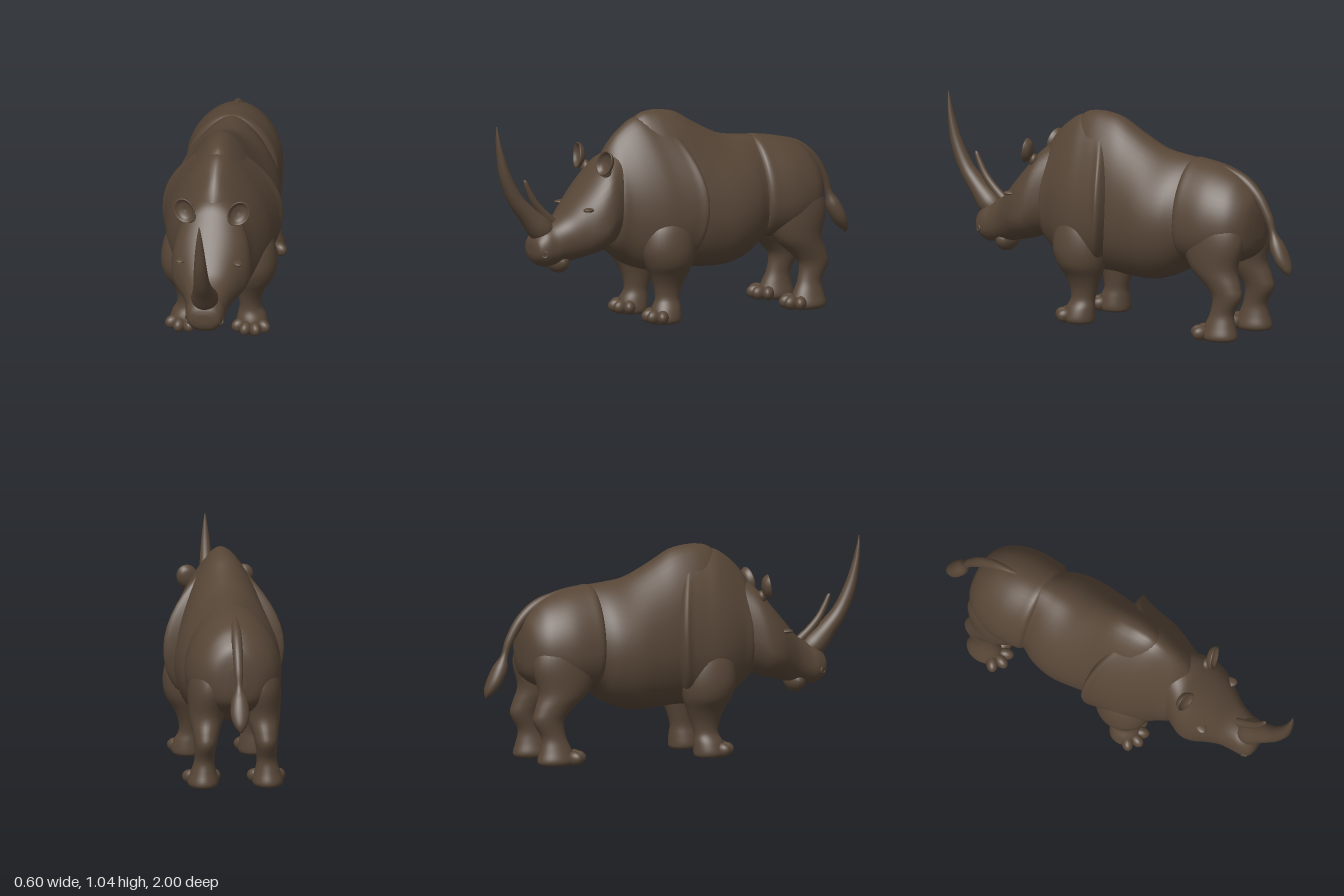
import * as THREE from 'three';

const hide = new THREE.MeshStandardMaterial({ color: 0x574637 });
hide.name = 'brown hide';

// Catmull-Rom interpolation of every column of a small table
function refine(rows, steps) {
  const out = [], last = rows.length - 1;
  for (let i = 0; i < last; i++) {
    const a = rows[Math.max(i - 1, 0)], b = rows[i], c = rows[i + 1], d = rows[Math.min(i + 2, last)];
    for (let s = 0; s < steps; s++) {
      const t = s / steps;
      out.push(b.map((v, k) => v + 0.5 * t * (c[k] - a[k]
        + t * (2 * a[k] - 5 * v + 4 * c[k] - d[k] + t * (3 * (v - c[k]) + d[k] - a[k])))));
    }
  }
  out.push(rows[last]);
  return out;
}

// Closed skin through cross-sections; section(row, angle, index, rows) gives a point
function loft(name, table, section, steps = 5, seg = 48) {
  const rows = refine(table, steps), pos = [], index = [];
  rows.forEach((r, i) => {
    for (let j = 0; j < seg; j++) pos.push(...section(r, j / seg * Math.PI * 2, i, rows));
  });
  const at = (i, j) => i * seg + j % seg;
  for (let i = 0; i < rows.length - 1; i++) {
    for (let j = 0; j < seg; j++) {
      index.push(at(i, j), at(i, j + 1), at(i + 1, j + 1), at(i, j), at(i + 1, j + 1), at(i + 1, j));
    }
  }
  for (const end of [0, rows.length - 1]) {
    const pole = pos.length / 3, mid = [0, 0, 0];
    for (let j = 0; j < seg; j++) for (let k = 0; k < 3; k++) mid[k] += pos[at(end, j) * 3 + k] / seg;
    pos.push(...mid);
    for (let j = 0; j < seg; j++) {
      if (end) index.push(at(end, j), at(end, j + 1), pole);
      else index.push(at(end, j + 1), at(end, j), pole);
    }
  }
  const g = new THREE.BufferGeometry();
  g.setAttribute('position', new THREE.Float32BufferAttribute(pos, 3));
  g.setIndex(index);
  g.computeVertexNormals();
  return named(name, g);
}

function named(name, geometry) {
  const m = new THREE.Mesh(geometry, hide);
  m.name = name;
  return m;
}

// Rows: z, top, bottom, half width, height of widest point, backward bow of the edge
// taper narrows the upper half toward a rounded ridge; pLow squares the belly
const bodySection = (taper, pLow) => ([z, top, low, w, mid, bow = 0], a) => {
  const c = Math.cos(a), s = Math.sin(a);
  const y = mid + s * (s > 0 ? top - mid : mid - low);
  const x = s > 0 ? w * c * (1 - taper * s * s) : Math.sign(c) * w * Math.pow(Math.abs(c), pLow);
  return [x, y, z + bow * (y - 0.58) ** 2];
};

// Rows: y, centre x, centre z, radius x, radius z
const legSection = (side) => ([y, cx, cz, rx, rz], a) => [side * cx + rx * Math.cos(a), y, cz + rz * Math.sin(a)];

// Rows: z, y, radius across, radius in the bending plane
function bentSection([z, y, rx, rt], a, i, rows) {
  const p = rows[Math.max(i - 1, 0)], n = rows[Math.min(i + 1, rows.length - 1)];
  const dz = n[0] - p[0], dy = n[1] - p[1], l = Math.hypot(dz, dy);
  const s = rt * Math.sin(a);
  return [rx * Math.cos(a), y + s * dz / l, z - s * dy / l];
}

function ellipsoid(name, [x, y, z], [rx, ry, rz]) {
  const m = named(name, new THREE.SphereGeometry(1, 20, 14));
  m.position.set(x, y, z);
  m.scale.set(rx, ry, rz);
  return m;
}

export function createModel() {
  const model = new THREE.Group();
  model.name = 'woolly rhinoceros';

  // Trunk, shoulder hump and haunches overlap to leave skin folds
  model.add(loft('trunk', [
    [-0.60, 0.835, 0.40, 0.17, 0.58], [-0.45, 0.865, 0.34, 0.205, 0.55], [-0.36, 0.875, 0.275, 0.246, 0.54],
    [-0.25, 0.895, 0.24, 0.262, 0.53], [-0.12, 0.96, 0.24, 0.246, 0.53], [-0.02, 1.018, 0.25, 0.228, 0.54],
    [0.06, 1.037, 0.25, 0.222, 0.54], [0.13, 1.039, 0.25, 0.205, 0.54], [0.20, 1.018, 0.26, 0.17, 0.54],
    [0.30, 0.93, 0.31, 0.11, 0.56],
  ], bodySection(0.24, 0.78)));
  model.add(loft('shoulders', [
    [-0.06, 0.96, 0.33, 0.21, 0.56, 0.7], [-0.048, 0.985, 0.29, 0.295, 0.57, 0.7], [0.00, 1.005, 0.265, 0.284, 0.55, 0.6],
    [0.08, 1.012, 0.252, 0.27, 0.53, 0.45], [0.16, 1.01, 0.255, 0.255, 0.53, 0.3], [0.24, 0.985, 0.275, 0.226, 0.54, 0.15],
    [0.32, 0.94, 0.32, 0.186, 0.56, 0], [0.37, 0.88, 0.365, 0.165, 0.57, 0], [0.41, 0.81, 0.42, 0.11, 0.58, 0],
  ], bodySection(0.4, 0.66)));
  model.add(loft('haunches', [
    [-0.815, 0.62, 0.50, 0.04, 0.56], [-0.80, 0.70, 0.44, 0.115, 0.57], [-0.76, 0.757, 0.40, 0.172, 0.56],
    [-0.70, 0.807, 0.37, 0.21, 0.55], [-0.60, 0.845, 0.36, 0.236, 0.55], [-0.50, 0.863, 0.36, 0.234, 0.55],
    [-0.445, 0.866, 0.37, 0.222, 0.56], [-0.42, 0.83, 0.42, 0.17, 0.57],
  ], bodySection(0.1, 0.62)));

  // Head with lower lip
  model.add(loft('head', [
    [0.30, 0.88, 0.42, 0.13, 0.60], [0.40, 0.835, 0.39, 0.182, 0.56], [0.46, 0.775, 0.365, 0.198, 0.51],
    [0.52, 0.705, 0.35, 0.184, 0.49], [0.58, 0.635, 0.335, 0.148, 0.48], [0.64, 0.565, 0.325, 0.115, 0.45],
    [0.70, 0.525, 0.315, 0.10, 0.41], [0.75, 0.505, 0.315, 0.095, 0.40], [0.79, 0.465, 0.345, 0.075, 0.40],
    [0.803, 0.43, 0.38, 0.035, 0.405],
  ], bodySection(-0.15, 0.85)));
  model.add(ellipsoid('lowerLip', [0, 0.333, 0.65], [0.083, 0.06, 0.05]));

  // Horns
  model.add(loft('frontHorn', [
    [0.70, 0.45, 0.05, 0.05], [0.75, 0.50, 0.067, 0.062], [0.82, 0.575, 0.052, 0.047], [0.89, 0.66, 0.04, 0.038],
    [0.945, 0.775, 0.032, 0.03], [0.975, 0.89, 0.022, 0.018], [0.99, 0.98, 0.011, 0.009], [0.994, 1.032, 0.002, 0.002],
  ], bentSection, 5, 28));
  model.add(loft('rearHorn', [
    [0.67, 0.52, 0.022, 0.026], [0.73, 0.575, 0.019, 0.022], [0.78, 0.635, 0.017, 0.018],
    [0.815, 0.70, 0.014, 0.014], [0.832, 0.74, 0.01, 0.01], [0.838, 0.752, 0.002, 0.002],
  ], bentSection, 5, 20));

  // Tail with tuft
  model.add(loft('tail', [
    [-0.54, 0.835, 0.012, 0.022], [-0.70, 0.79, 0.024, 0.028], [-0.80, 0.715, 0.026, 0.027], [-0.865, 0.615, 0.022, 0.022],
    [-0.893, 0.535, 0.018, 0.018], [-0.915, 0.475, 0.04, 0.036], [-0.948, 0.41, 0.046, 0.036],
    [-0.978, 0.36, 0.03, 0.024], [-0.99, 0.33, 0.006, 0.006],
  ], bentSection, 5, 24));

  const frontLegRows = [
    [0.56, 0.165, 0.11, 0.06, 0.08], [0.48, 0.17, 0.115, 0.1, 0.13], [0.38, 0.174, 0.12, 0.114, 0.143],
    [0.30, 0.172, 0.115, 0.104, 0.125], [0.24, 0.161, 0.11, 0.078, 0.098], [0.18, 0.154, 0.11, 0.06, 0.075],
    [0.12, 0.155, 0.115, 0.054, 0.063], [0.075, 0.162, 0.125, 0.07, 0.074], [0.03, 0.165, 0.13, 0.08, 0.08],
    [0.008, 0.165, 0.13, 0.075, 0.077], [0, 0.165, 0.13, 0.06, 0.065],
  ];
  const hindLegRows = [
    [0.66, 0.10, -0.61, 0.06, 0.09], [0.58, 0.118, -0.62, 0.095, 0.15], [0.48, 0.13, -0.625, 0.1, 0.168],
    [0.36, 0.138, -0.635, 0.088, 0.13], [0.28, 0.146, -0.69, 0.067, 0.098], [0.22, 0.15, -0.72, 0.055, 0.08],
    [0.14, 0.154, -0.695, 0.049, 0.064], [0.08, 0.158, -0.685, 0.062, 0.08], [0.03, 0.16, -0.682, 0.076, 0.097],
    [0.008, 0.16, -0.682, 0.07, 0.092], [0, 0.16, -0.68, 0.055, 0.07],
  ];
  // Ear bowl, opening upward before it is turned forward
  const earProfile = new THREE.SplineCurve([
    [0, -0.022], [0.04, -0.012], [0.058, 0.012], [0.053, 0.018], [0.035, 0.001], [0, -0.008],
  ].map(([x, y]) => new THREE.Vector2(x, y))).getPoints(24).map((p) => p.setX(Math.max(p.x, 0)));

  for (const side of [1, -1]) {
    const tag = side > 0 ? 'left' : 'right';
    // Legs and toes
    model.add(loft(tag + 'FrontLeg', frontLegRows, legSection(side), 4, 32));
    model.add(loft(tag + 'HindLeg', hindLegRows, legSection(side), 4, 32));
    for (const [part, x, z] of [['FrontToe', 0.165, 0.13], ['HindToe', 0.16, -0.655]]) {
      for (const a of [-0.95, -0.32, 0.32, 0.95]) {
        const toe = ellipsoid(tag + part, [side * x + 0.07 * Math.sin(a), 0.037, z + 0.08 * Math.cos(a)], [0.029, 0.035, 0.043]);
        toe.rotation.y = a;
        model.add(toe);
      }
    }
    // Ears
    const ear = new THREE.Group();
    ear.name = tag + 'Ear';
    const bowl = named('earBowl', new THREE.LatheGeometry(earProfile, 32));
    bowl.rotation.x = Math.PI / 2;
    bowl.scale.set(0.92, 1, 1.12);
    ear.add(bowl, ellipsoid('earRoot', [0, -0.055, -0.025], [0.03, 0.035, 0.022]));
    ear.position.set(side * 0.132, 0.82, 0.445);
    ear.rotation.set(-0.15, side * 0.2, side * -0.45);
    model.add(ear);
    // Eyelids and nostril rims
    const lid = ellipsoid(tag + 'Eyelid', [side * 0.137, 0.597, 0.547], [0.026, 0.011, 0.038]);
    lid.rotation.y = side * 0.5;
    model.add(lid);
    const nostril = named(tag + 'Nostril', new THREE.TorusGeometry(0.015, 0.006, 10, 20));
    nostril.position.set(side * 0.083, 0.385, 0.768);
    nostril.rotation.y = side * 0.95;
    model.add(nostril);
  }
  return model;
}
